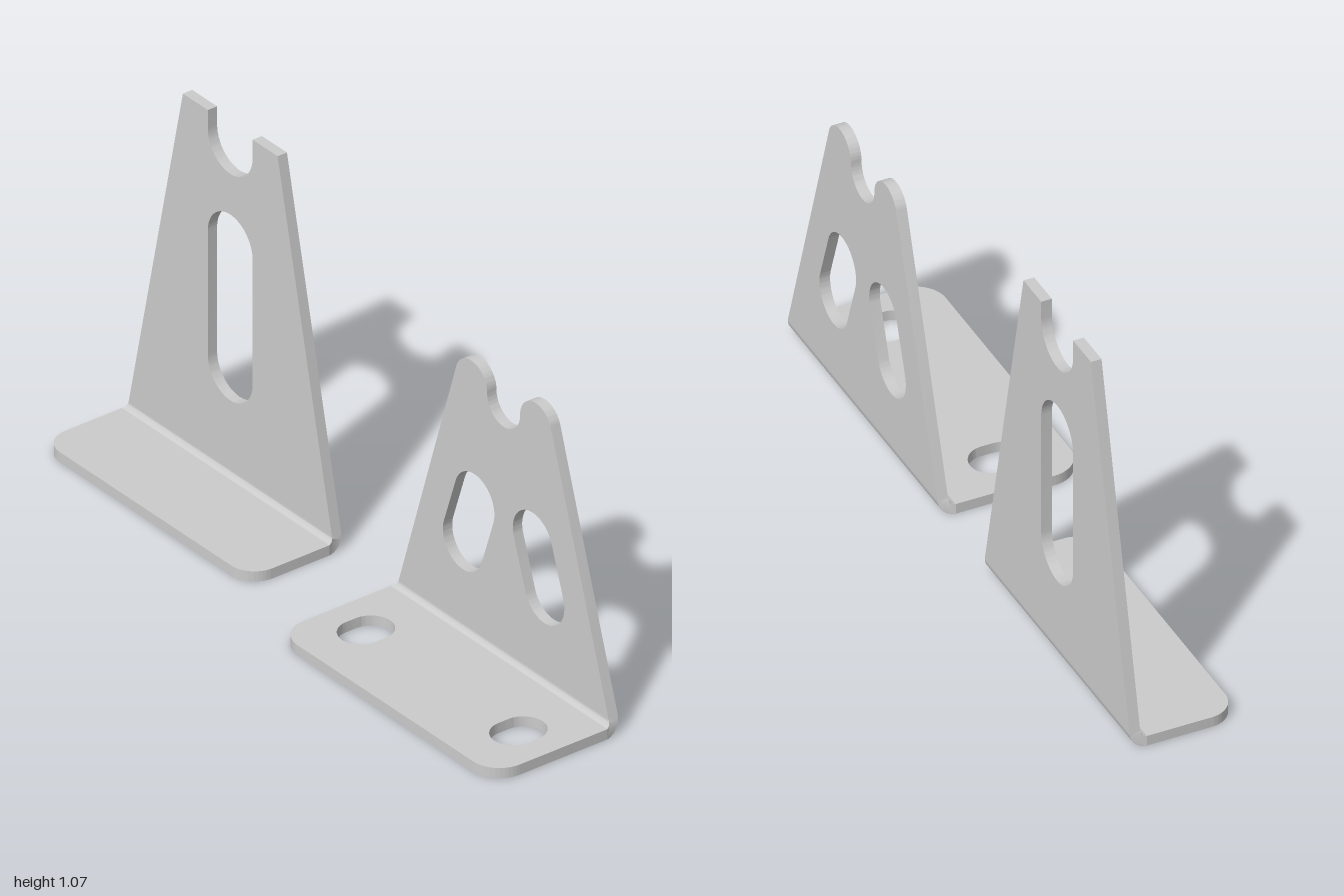
import * as THREE from 'three';
import { toCreasedNormals } from 'three/addons/utils/BufferGeometryUtils.js';

const T = 0.03;              // sheet thickness
const BACK = -0.205;         // z of the rear face
const RO = 0.045;            // outer bend radius
const RI = RO - T;           // inner bend radius
const BEND_Z = BACK + RO;    // where the flat base meets the bend
const PI = Math.PI;

const material = new THREE.MeshStandardMaterial({ color: 0xcccccc, side: THREE.DoubleSide });

// Round-ended slot between two centres
function slot(px, py, qx, qy, r) {
  const a = Math.atan2(qy - py, qx - px);
  const path = new THREE.Path();
  path.absarc(qx, qy, r, a - PI / 2, a + PI / 2, false);
  path.absarc(px, py, r, a + PI / 2, a + 1.5 * PI, false);
  path.closePath();
  return path;
}

const extrude = (shape, depth) =>
  new THREE.ExtrudeGeometry(shape, { depth, bevelEnabled: false, curveSegments: 20 });

// Remove the hidden triangles lying in the joints between base, bend and upright
function dropJoints(geometry) {
  const p = geometry.attributes.position;
  const kept = [];
  for (let i = 0; i < p.count; i += 3) {
    const ids = [i, i + 1, i + 2];
    const atBase = ids.every((j) => Math.abs(p.getZ(j) - BEND_Z) < 1e-5);
    const atUpright = ids.every((j) => Math.abs(p.getY(j) - RO) < 1e-5);
    if (!atBase && !atUpright) ids.forEach((j) => kept.push(p.getX(j), p.getY(j), p.getZ(j)));
  }
  const out = new THREE.BufferGeometry();
  out.setAttribute('position', new THREE.Float32BufferAttribute(kept, 3));
  return toCreasedNormals(out, 0.5);
}

// Flat foot with two rounded front corners
function baseGeometry(w, front, r, holes) {
  const s = new THREE.Shape();
  s.moveTo(w, -BEND_Z);
  s.lineTo(-w, -BEND_Z);
  s.absarc(-w + r, -front + r, r, PI, 1.5 * PI, false);
  s.absarc(w - r, -front + r, r, -PI / 2, 0, false);
  s.closePath();
  s.holes.push(...holes);
  return extrude(s, T).rotateX(-PI / 2);
}

// Quarter bend, narrowing from the foot width to the upright width
function bendGeometry(w, wTop) {
  const s = new THREE.Shape();
  s.absarc(-BEND_Z, RO, RO, -PI / 2, 0, false);
  s.absarc(-BEND_Z, RO, RI, 0, -PI / 2, true);
  s.closePath();
  const g = extrude(s, 2 * w).rotateY(PI / 2).translate(-w, 0, 0);
  const p = g.attributes.position;
  for (let i = 0; i < p.count; i++) {
    const t = Math.atan2(BEND_Z - p.getZ(i), RO - p.getY(i)) / (PI / 2);
    p.setX(i, p.getX(i) * (1 + (wTop / w - 1) * t));
  }
  return g;
}

function makeBracket(name, o) {
  const group = new THREE.Group();
  group.name = name;
  group.position.x = o.x;
  const parts = {
    Base: baseGeometry(o.w, o.front, o.corner, o.baseHoles),
    Bend: bendGeometry(o.w, o.wTop),
    Upright: extrude(o.upright, T).translate(0, 0, BACK),
  };
  for (const [part, geometry] of Object.entries(parts)) {
    const mesh = new THREE.Mesh(dropJoints(geometry), material);
    mesh.name = name + part;
    group.add(mesh);
  }
  return group;
}

// Tall upright: square top, U notch, one vertical slot
function tallUpright(w) {
  const s = new THREE.Shape();
  const r = 0.0925, top = 1.065;
  s.moveTo(-w, RO);
  s.lineTo(w, RO);
  s.lineTo(0.195, top);
  s.lineTo(r, top);
  s.absarc(0, 1.0125, r, 0, -PI, true);
  s.lineTo(-r, top);
  s.lineTo(-0.195, top);
  s.closePath();
  s.holes.push(slot(0, 0.3425, 0, 0.7075, r));
  return s;
}

// Short upright: two round lobes around a notch, two slanted slots
function shortUpright(w) {
  const s = new THREE.Shape();
  const lobe = 0.065, notch = 0.068, y = 0.775, tilt = 0.31;
  s.moveTo(-w, RO);
  s.lineTo(w, RO);
  s.absarc(lobe + notch, y, lobe, tilt, PI, false);
  s.absarc(0, y, notch, 0, -PI, true);
  s.absarc(-lobe - notch, y, lobe, 0, PI - tilt, false);
  s.closePath();
  for (const m of [-1, 1]) s.holes.push(slot(m * 0.168, 0.288, m * 0.12, 0.428, 0.082));
  return s;
}

export function createModel() {
  const model = new THREE.Group();
  model.name = 'bracketPair';
  model.add(
    makeBracket('tallBracket', {
      x: -0.5725, w: 0.4275, wTop: 0.419, front: 0.097, corner: 0.075,
      baseHoles: [], upright: tallUpright(0.419),
    }),
    makeBracket('shortBracket', {
      x: 0.5535, w: 0.4465, wTop: 0.433, front: 0.205, corner: 0.085,
      baseHoles: [-1, 1].map((m) => slot(m * 0.314, -0.0385, m * 0.314, -0.0065, 0.0615)),
      upright: shortUpright(0.433),
    }),
  );
  return model;
}
